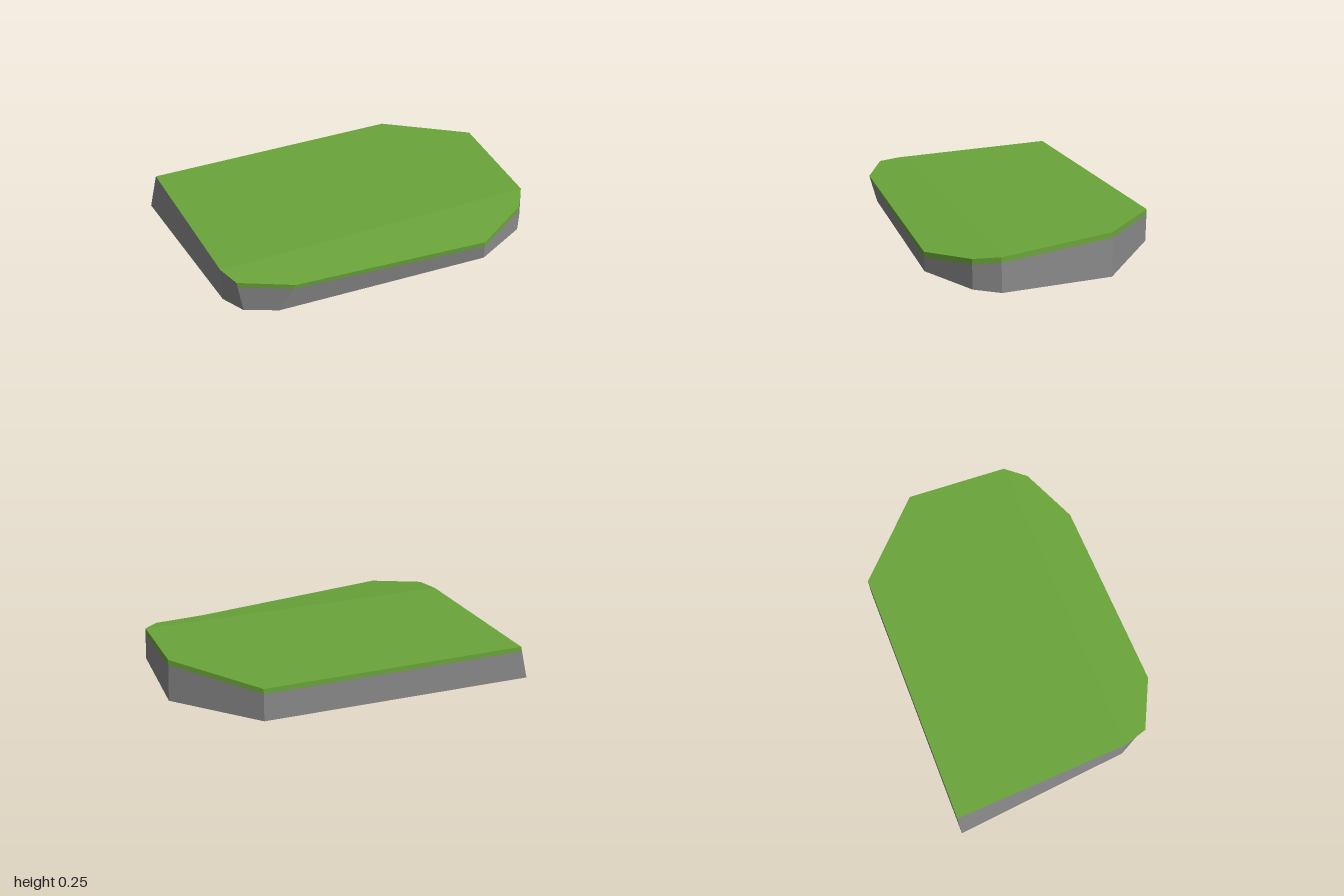
import * as THREE from 'three';

// Rim corners, clockwise from above: top x, y, z, then ground x, z
const RIM = [
  [-0.95, 0.2, -0.657, -1, -0.657],
  [0.58, 0.19, -0.657, 0.58, -0.657],
  [0.99, 0.245, -0.24, 1, -0.24],
  [0.99, 0.19, 0.375, 1, 0.375],
  [0.9, 0.165, 0.5, 0.905, 0.5],
  [0.58, 0.11, 0.657, 0.58, 0.657],
  [-0.585, 0.195, 0.657, -0.66, 0.595],
  [-0.865, 0.2, 0.515, -0.835, 0.51],
  [-0.905, 0.2, 0.375, -0.905, 0.375],
];
const BAND = 0.03; // depth of the grass edge
const BARE = [7, 8]; // sides where rock reaches the top

// Mesh from triangles and quads, each face shaded evenly by one normal
function surface(name, faces, material, shadeNormal) {
  const points = [], normals = [];
  for (const face of faces) {
    const [a, b, c, d = a] = face;
    const normal = shadeNormal
      ?? c.clone().sub(a).cross(d.clone().sub(b)).normalize();
    const corners = face.length === 4 ? [a, b, c, a, c, d] : face;
    for (const corner of corners) {
      points.push(corner);
      normals.push(...normal.toArray());
    }
  }
  const geometry = new THREE.BufferGeometry().setFromPoints(points);
  geometry.setAttribute('normal', new THREE.Float32BufferAttribute(normals, 3));
  const mesh = new THREE.Mesh(geometry, material);
  mesh.name = name;
  return mesh;
}

export function createModel() {
  const grass = new THREE.MeshStandardMaterial({ color: 0x6aa53a });
  grass.name = 'grass green';
  const rock = new THREE.MeshStandardMaterial({ color: 0x898989 });
  rock.name = 'rock grey';

  const top = RIM.map(([x, y, z]) => new THREE.Vector3(x, y, z));
  const base = RIM.map((p) => new THREE.Vector3(p[3], 0, p[4]));
  const mid = top.map((t, i) => t.clone().lerp(base[i], BAND / t.y));

  // Rock walls with the grass edge along their upper rim
  const wall = [], edge = [];
  const side = (low, high, i, j) => [low[i], high[i], high[j], low[j]];
  RIM.forEach((_, i) => {
    const j = (i + 1) % RIM.length;
    if (BARE.includes(i)) {
      wall.push(side(base, top, i, j));
    } else {
      wall.push(side(base, mid, i, j));
      edge.push(side(mid, top, i, j));
    }
  });

  // Underside
  const under = [];
  for (let i = 1; i < base.length - 1; i++) under.push([base[0], base[i], base[i + 1]]);

  // Level rear field with one raised corner, and a front strip dipping at one end
  const onTop = (faces) => faces.map(([a, b, c]) => [top[a], top[c], top[b]]);
  const field = onTop([[0, 1, 3], [1, 2, 3], [0, 3, 8]]);
  const strip = onTop([[8, 3, 6], [8, 6, 7], [3, 5, 6], [3, 4, 5]]);

  const group = new THREE.Group();
  group.name = 'grassyPlateau';
  group.add(
    surface('grassField', field, grass, new THREE.Vector3(0, 1, 0)),
    surface('grassFrontStrip', strip, grass, new THREE.Vector3(0, 1, 0.12).normalize()),
    surface('grassEdge', edge, grass),
    surface('rockWall', wall, rock),
    surface('rockUnderside', under, rock, new THREE.Vector3(0, -1, 0)),
  );
  return group;
}
